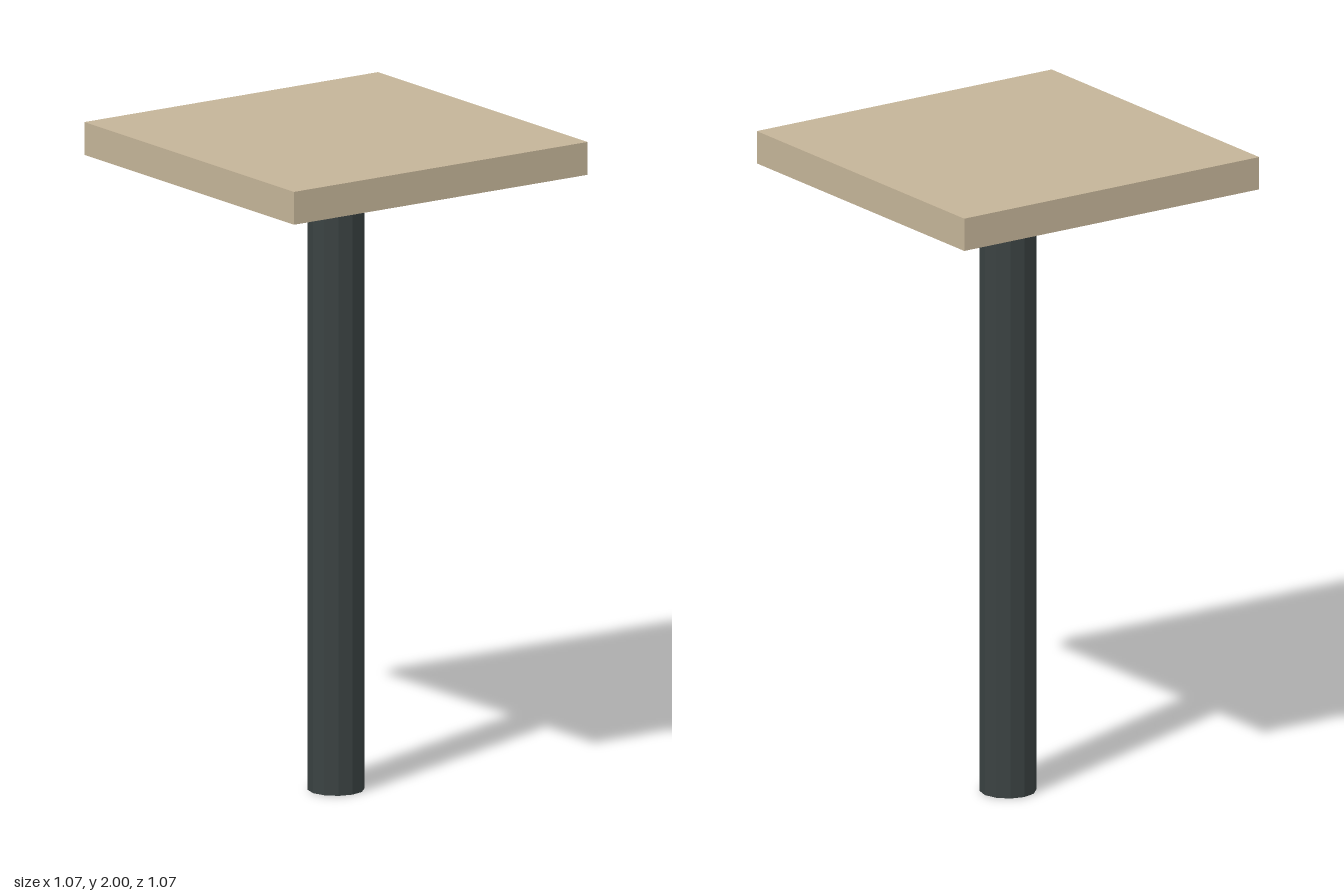
import * as THREE from 'three';

export function createModel() {
  const model = new THREE.Group();
  model.name = 'pedestalTable';

  const wood = new THREE.MeshStandardMaterial({ color: 0xc4b498 });
  wood.name = 'pale wood';
  const metal = new THREE.MeshStandardMaterial({ color: 0x3a4242 });
  metal.name = 'dark metal';

  const height = 2, thickness = 0.1, width = 1.066;
  const legHeight = height - thickness;

  // Square slab top
  const top = new THREE.Mesh(new THREE.BoxGeometry(width, thickness, width), wood);
  top.name = 'tableTop';
  top.position.y = height - thickness / 2;

  // Faceted central post; toNonIndexed gives each side its own flat normal
  const post = new THREE.CylinderGeometry(0.084, 0.084, legHeight, 12).toNonIndexed();
  post.computeVertexNormals();
  const leg = new THREE.Mesh(post, metal);
  leg.name = 'leg';
  leg.position.y = legHeight / 2;

  model.add(top, leg);
  return model;
}
